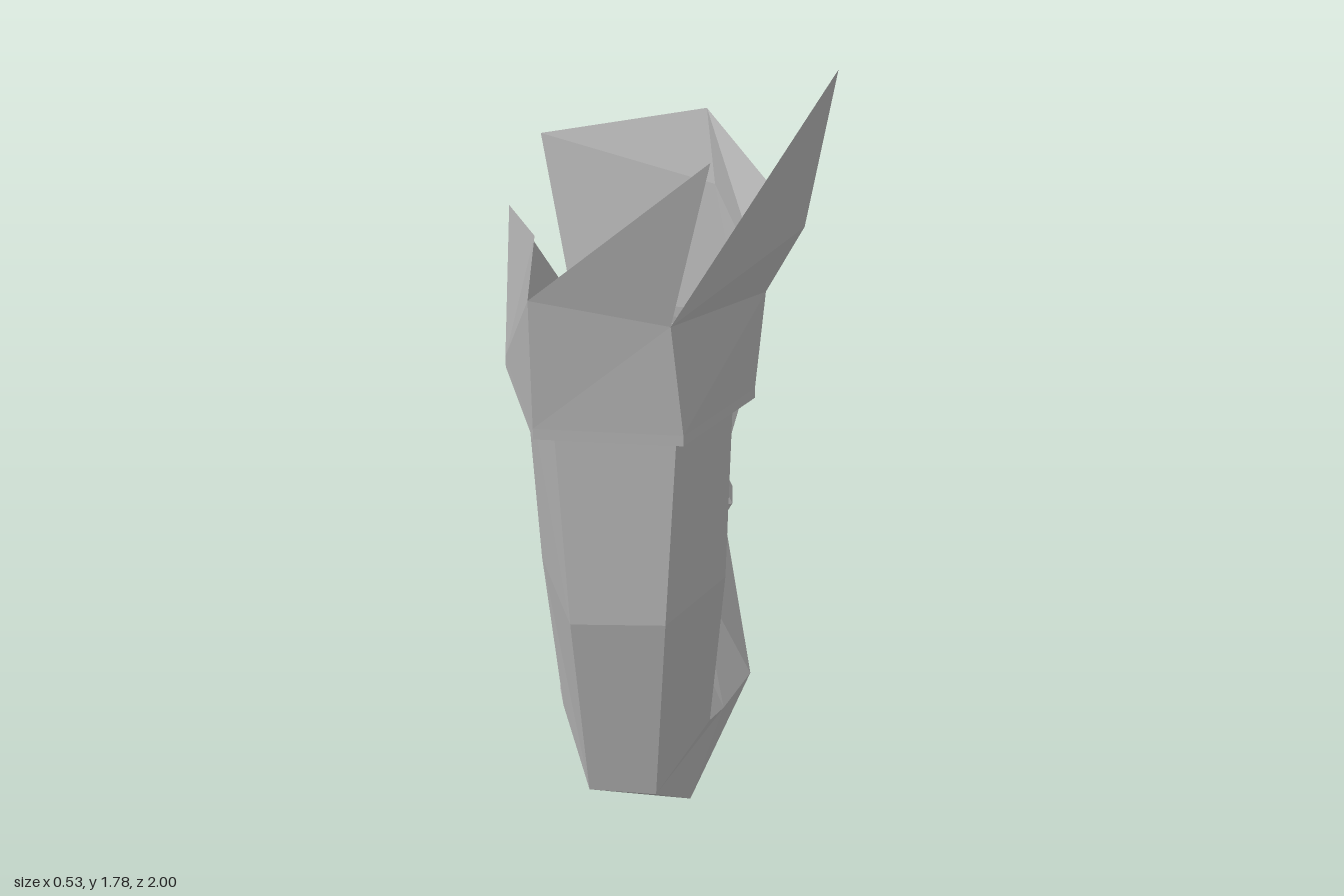
import * as THREE from 'three';

const grey = new THREE.MeshStandardMaterial({ color: 0xb2b2b2, flatShading: true, side: THREE.DoubleSide });
grey.name = 'plain grey';

// Turns a list of triangles (each three points) into a faceted mesh
function facets(name, tris) {
  const geo = new THREE.BufferGeometry();
  geo.setAttribute('position', new THREE.Float32BufferAttribute(tris.flat(2), 3));
  geo.computeVertexNormals();
  const mesh = new THREE.Mesh(geo, grey);
  mesh.name = name;
  return mesh;
}

// Skins a row of matching rings, with optional end caps
function skin(rings, capStart = false, capEnd = false) {
  const tris = [], n = rings[0].length;
  for (let r = 0; r < rings.length - 1; r++) {
    for (let i = 0; i < n; i++) {
      const j = (i + 1) % n, p = rings[r], q = rings[r + 1];
      tris.push([p[i], q[j], p[j]], [p[i], q[i], q[j]]);
    }
  }
  const first = rings[0], last = rings[rings.length - 1];
  for (let i = 1; i < n - 1; i++) {
    if (capStart) tris.push([first[0], first[i], first[i + 1]]);
    if (capEnd) tris.push([last[0], last[i + 1], last[i]]);
  }
  return tris;
}

// Ring of x,z pairs at height y, or x,y pairs at depth z
const flat = (y, pts) => pts.map(([x, z]) => [x, y, z]);
const upright = (z, pts) => pts.map(([x, y]) => [x, y, z]);
// Rectangular ring whose depth may differ on its two sides
const block = (x0, x1, y0, y1, z0, z1 = z0) => [[x0, y0, z0], [x1, y0, z1], [x1, y1, z1], [x0, y1, z0]];

export function createModel() {
  const arm = new THREE.Group();
  arm.name = 'arm';

  // Upper arm, open at the top
  const elbow = [[-0.14, 0.385, 0.815], [-0.02, 0.38, 0.82], [0.075, 0.47, 0.72],
    [0.04, 0.54, 0.65], [-0.12, 0.54, 0.65], [-0.19, 0.5, 0.72]];
  const shoulder = flat(1.235, [[-0.18, 0.9], [0.02, 0.9], [0.11, 0.76], [0.05, 0.58], [-0.14, 0.56], [-0.24, 0.72]]);
  arm.add(facets('upperArm', skin([
    shoulder,
    flat(0.83, [[-0.16, 0.91], [0, 0.91], [0.1, 0.77], [0.05, 0.55], [-0.12, 0.52], [-0.22, 0.72]]),
    elbow,
  ])));

  // Forearm, sharing the elbow crease
  arm.add(facets('forearm', skin([
    elbow,
    [[-0.06, 0.28, 0.7], [0.04, 0.265, 0.7], [0.1, 0.45, 0.66],
      [0.045, 0.55, 0.6], [-0.12, 0.57, 0.61], [-0.2, 0.49, 0.66]],
    [[-0.09, 0.285, 0.53], [0.05, 0.275, 0.55], [0.15, 0.42, 0.52],
      [0.05, 0.6, 0.46], [-0.12, 0.665, 0.465], [-0.205, 0.49, 0.5]],
    upright(-0.16, [[-0.04, 0.285], [0.04, 0.285], [0.09, 0.355], [0.03, 0.46], [-0.06, 0.485], [-0.1, 0.4]]),
  ])));

  // Cuff: flared hexagonal band with a torn, pointed rim
  const foot = [[-0.21, 1.235, 0.93], [0.03, 1.225, 0.93], [0.145, 1.21, 0.76],
    [0.07, 1.24, 0.56], [-0.17, 1.245, 0.53], [-0.27, 1.24, 0.72]];
  const A = [-0.21, 1.48, 0.945], B = [0.01, 1.43, 0.935], C = [0.16, 1.385, 0.745],
    D = [0.075, 1.46, 0.515], F = [-0.215, 1.47, 0.72];
  const frontTip = [0.07, 1.75, 1], sideTip = [0.265, 1.78, 0.74], sideStep = [0.22, 1.5, 0.735],
    backTip = [0.06, 1.58, 0.47], backCorner = [-0.22, 1.53, 0.47], leftTip = [-0.257, 1.51, 0.69];
  const [a, b, c, d, e, f] = foot;
  arm.add(facets('cuff', [
    [a, b, B], [a, B, A], [A, B, frontTip],
    [b, c, C], [b, C, B], [B, C, sideStep], [B, sideStep, sideTip],
    [c, d, D], [c, D, C], [C, D, backTip], [C, backTip, sideStep],
    [d, e, backCorner], [d, backCorner, D], [D, backCorner, backTip],
    [e, f, leftTip], [f, a, A], [f, A, F], [f, F, leftTip],
  ]));
  const rim = foot.map(([x, y, z]) => [x, y - 0.02, z]);
  const inner = shoulder.map(([x, , z], i) => [x, foot[i][1] - 0.02, z]);
  arm.add(facets('cuffLip', skin([foot, rim, inner])));

  // Wrist band, leaning slightly with a bevelled edge
  const hex = [[-0.055, 0.24], [0.055, 0.24], [0.115, 0.35], [0.05, 0.495], [-0.06, 0.51], [-0.11, 0.4]];
  const band = (z, s) => hex.map(([x, y]) => [x * s, 0.375 + (y - 0.375) * s, z - (y - 0.375) * 0.12]);
  arm.add(facets('wristBand', skin([band(-0.13, 0.88), band(-0.14, 1), band(-0.205, 1), band(-0.22, 0.88)], true, true)));

  // Hand
  const hand = new THREE.Group();
  hand.name = 'hand';
  hand.add(facets('palm', skin([
    upright(-0.2, [[-0.03, 0.25], [0.045, 0.25], [0.09, 0.36], [0.04, 0.46], [-0.05, 0.485], [-0.09, 0.4]]),
    upright(-0.33, [[-0.01, 0.175], [0.05, 0.18], [0.105, 0.37], [0.03, 0.53], [-0.065, 0.565], [-0.095, 0.42]]),
    upright(-0.46, [[-0.01, 0.135], [0.06, 0.135], [0.128, 0.38], [0.02, 0.56], [-0.09, 0.6], [-0.06, 0.37]]),
    upright(-0.61, [[-0.01, 0.08], [0.05, 0.08], [0.125, 0.36], [0.07, 0.457], [0, 0.455], [0, 0.3]]),
  ], true, true)));

  hand.add(facets('thumb', skin([
    block(-0.085, 0.02, 0.44, 0.57, -0.36),
    block(-0.1, -0.005, 0.48, 0.62, -0.49, -0.5),
    block(-0.115, -0.025, 0.53, 0.655, -0.58, -0.56),
    block(-0.175, -0.07, 0.545, 0.655, -0.72, -0.66),
    block(-0.14, -0.075, 0.56, 0.64, -0.785, -0.78),
  ], true, true)));

  hand.add(facets('upperFinger', skin([
    block(0, 0.122, 0.355, 0.458, -0.56),
    block(-0.015, 0.105, 0.338, 0.448, -0.78),
    block(-0.03, 0.075, 0.328, 0.44, -0.9),
    block(-0.03, 0.035, 0.322, 0.432, -0.975, -1),
  ], true, true)));

  // Joined lower fingers, fanned downwards and curling inwards
  hand.add(facets('lowerFingers', skin([
    [[-0.01, 0.085, -0.58], [0.05, 0.085, -0.58], [0.11, 0.22, -0.58],
      [0.122, 0.352, -0.6], [0, 0.352, -0.6], [0, 0.22, -0.58]],
    [[-0.035, 0.04, -0.7], [0.03, 0.045, -0.69], [0.085, 0.17, -0.76],
      [0.105, 0.31, -0.8], [-0.02, 0.31, -0.8], [-0.02, 0.17, -0.75]],
    [[-0.05, 0.015, -0.79], [-0.005, 0, -0.79], [0.03, 0.1, -0.91],
      [0.04, 0.265, -0.99], [-0.03, 0.265, -0.96], [-0.035, 0.12, -0.88]],
  ], true, true)));
  arm.add(hand);

  return arm;
}
